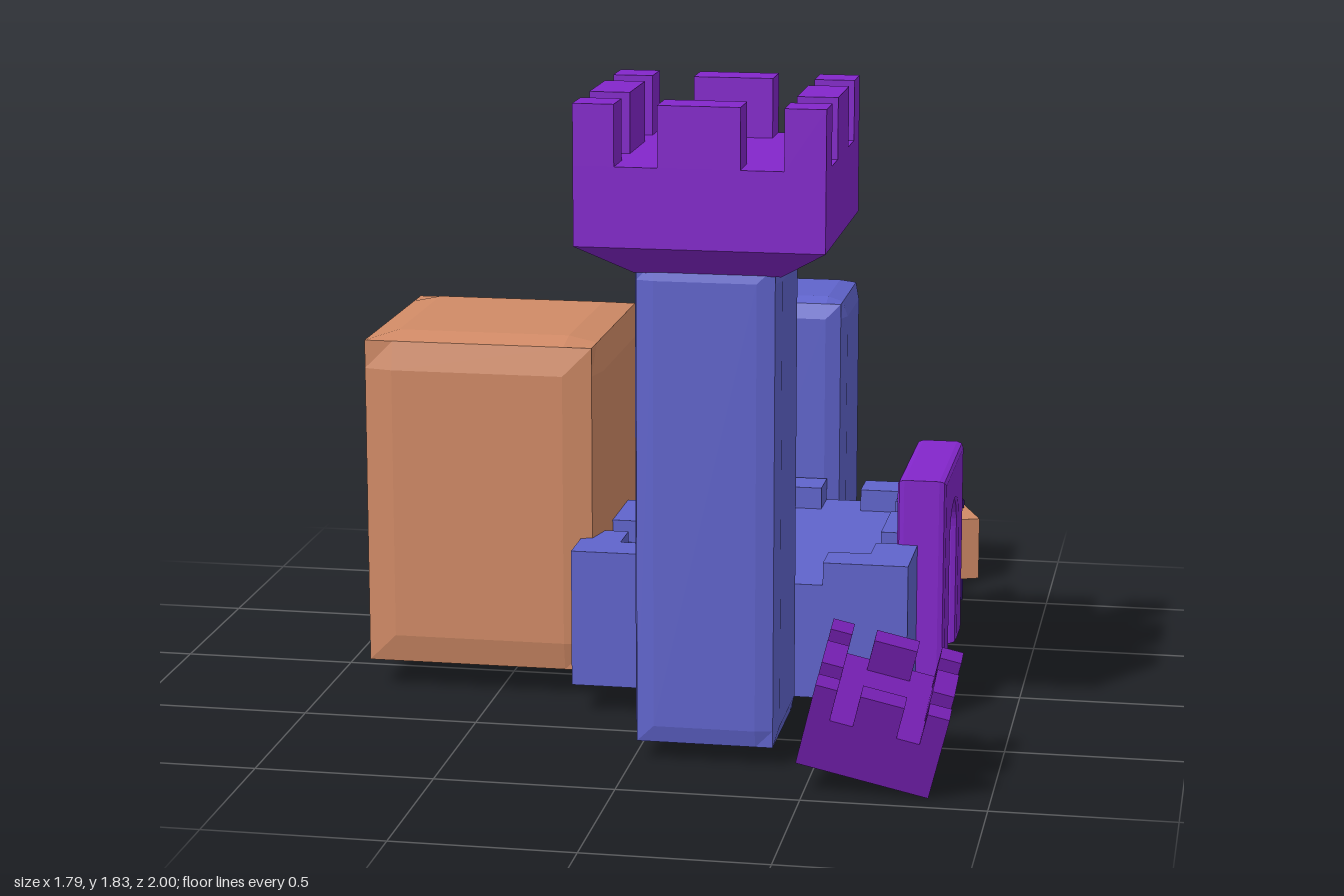
import * as THREE from 'three';

const mat = (color) => new THREE.MeshStandardMaterial({ color, flatShading: true });

export function createModel() {
  const model = new THREE.Group();
  const blue = mat(0x6064cc), purple = mat(0x8326cb), darkPurple = mat(0x741fb0);
  const brown = mat(0xd08a66), dark = mat(0x2b0d60);

  const add = (parent, name, geometry, material, x = 0, y = 0, z = 0) => {
    const mesh = new THREE.Mesh(geometry, material);
    mesh.name = name;
    mesh.position.set(x, y, z);
    parent.add(mesh);
    return mesh;
  };
  const group = (name, x, y, z) => {
    const g = new THREE.Group();
    g.name = name;
    g.position.set(x, y, z);
    model.add(g);
    return g;
  };

  // Block with shallow bevels: inner loops near each edge, edges and corners pulled in
  const softBlock = (w, h, d, band, pull) => {
    const geo = new THREE.BoxGeometry(w, h, d, 3, 3, 3);
    const half = [w / 2, h / 2, d / 2];
    const p = geo.attributes.position;
    for (let i = 0; i < p.count; i++) {
      const v = [p.getX(i), p.getY(i), p.getZ(i)];
      const outer = v.map((c, k) => Math.abs(c) > half[k] * 0.9);
      const onEdge = outer.filter(Boolean).length > 1;
      p.setXYZ(i, ...v.map((c, k) =>
        Math.sign(c) * (half[k] - (outer[k] ? (onEdge ? pull : 0) : band))));
    }
    geo.computeVertexNormals();
    return geo;
  };

  // Ring of merlons on a square top: four corners (L-shaped if long) and four middles
  const merlons = (parent, material, half, thick, corner, middle, base, height) => {
    const y = base + height / 2;
    const edge = half - thick / 2;
    for (let i = 0; i < 4; i++) {
      const side = new THREE.Group();
      side.name = 'merlonSide';
      side.rotation.y = i * Math.PI / 2;
      add(side, 'middleMerlon', new THREE.BoxGeometry(middle, height, thick), material, 0, y, edge);
      add(side, 'cornerMerlon', new THREE.BoxGeometry(corner, height, thick), material, half - corner / 2, y, edge);
      if (corner > thick) {
        const arm = corner - thick;
        add(side, 'cornerMerlonArm', new THREE.BoxGeometry(thick, height, arm), material,
          edge, y, half - thick - arm / 2);
      }
      parent.add(side);
    }
  };

  // Large blocks
  add(model, 'brownBlock', softBlock(0.7, 0.99, 0.7, 0.1, 0.018), brown, -0.55, 0.555, -0.12);
  add(model, 'backBlock', softBlock(0.4, 0.96, 0.39, 0.06, 0.015), blue, 0.2, 0.55, -0.805);
  add(model, 'towerShaft', softBlock(0.4, 1.36, 0.4, 0.06, 0.012), blue, 0.2, 0.72, 0.555);

  // Low crenellated base
  const keep = group('castleBase', 0.23, 0.08, -0.12);
  add(keep, 'baseBody', new THREE.BoxGeometry(0.96, 0.33, 0.96), blue, 0, 0.165, 0);
  merlons(keep, blue, 0.48, 0.12, 0.24, 0.24, 0.33, 0.065);

  // Tower crown on a flared collar
  const crown = group('towerCrown', 0.205, 1.36, 0.545);
  const flare = new THREE.CylinderGeometry(0.335 * Math.SQRT2, 0.2 * Math.SQRT2, 0.09, 4, 1);
  flare.rotateY(Math.PI / 4);
  add(crown, 'crownFlare', flare, purple, 0, 0.045, 0);
  add(crown, 'crownBody', new THREE.BoxGeometry(0.67, 0.215, 0.67), purple, 0, 0.1975, 0);
  merlons(crown, purple, 0.335, 0.11, 0.11, 0.22, 0.305, 0.165);

  // Small crown lying tilted on the ground
  const fallen = group('fallenCrown', 0.687, 0.198, 0.785);
  fallen.rotation.set(0.22, 0, -0.24);
  add(fallen, 'fallenBody', new THREE.BoxGeometry(0.365, 0.155, 0.365), darkPurple, 0, -0.0475, 0);
  merlons(fallen, darkPurple, 0.1825, 0.06, 0.06, 0.12, 0.03, 0.095);

  // Arched gate facing +x
  const gate = group('gate', 0.65, 0.08, -0.12);
  gate.rotation.y = Math.PI / 2;
  const arch = new THREE.Shape();
  arch.moveTo(-0.25, 0);
  arch.lineTo(-0.115, 0);
  arch.lineTo(-0.115, 0.36);
  arch.quadraticCurveTo(-0.11, 0.46, 0, 0.46);
  arch.quadraticCurveTo(0.11, 0.46, 0.115, 0.36);
  arch.lineTo(0.115, 0);
  arch.lineTo(0.25, 0);
  arch.lineTo(0.25, 0.585);
  arch.lineTo(-0.25, 0.585);
  arch.closePath();
  const frame = new THREE.ExtrudeGeometry(arch, {
    depth: 0.1, bevelEnabled: true, bevelThickness: 0.02, bevelSize: 0.015,
    bevelOffset: -0.015, bevelSegments: 2, curveSegments: 8,
  });
  add(gate, 'gateFrame', frame, purple, 0, 0, 0.02);
  add(gate, 'gateOpening', new THREE.BoxGeometry(0.27, 0.48, 0.03), dark, 0, 0.24, 0.06);

  // Signpost
  const sign = group('signpost', 0.737, 0, -0.745);
  sign.rotation.y = 0.37;
  add(sign, 'signBoard', new THREE.BoxGeometry(0.058, 0.188, 0.3), brown, 0, 0.272, 0);
  add(sign, 'signPost', new THREE.BoxGeometry(0.035, 0.32, 0.035), dark, 0, 0.232, 0);

  return model;
}
